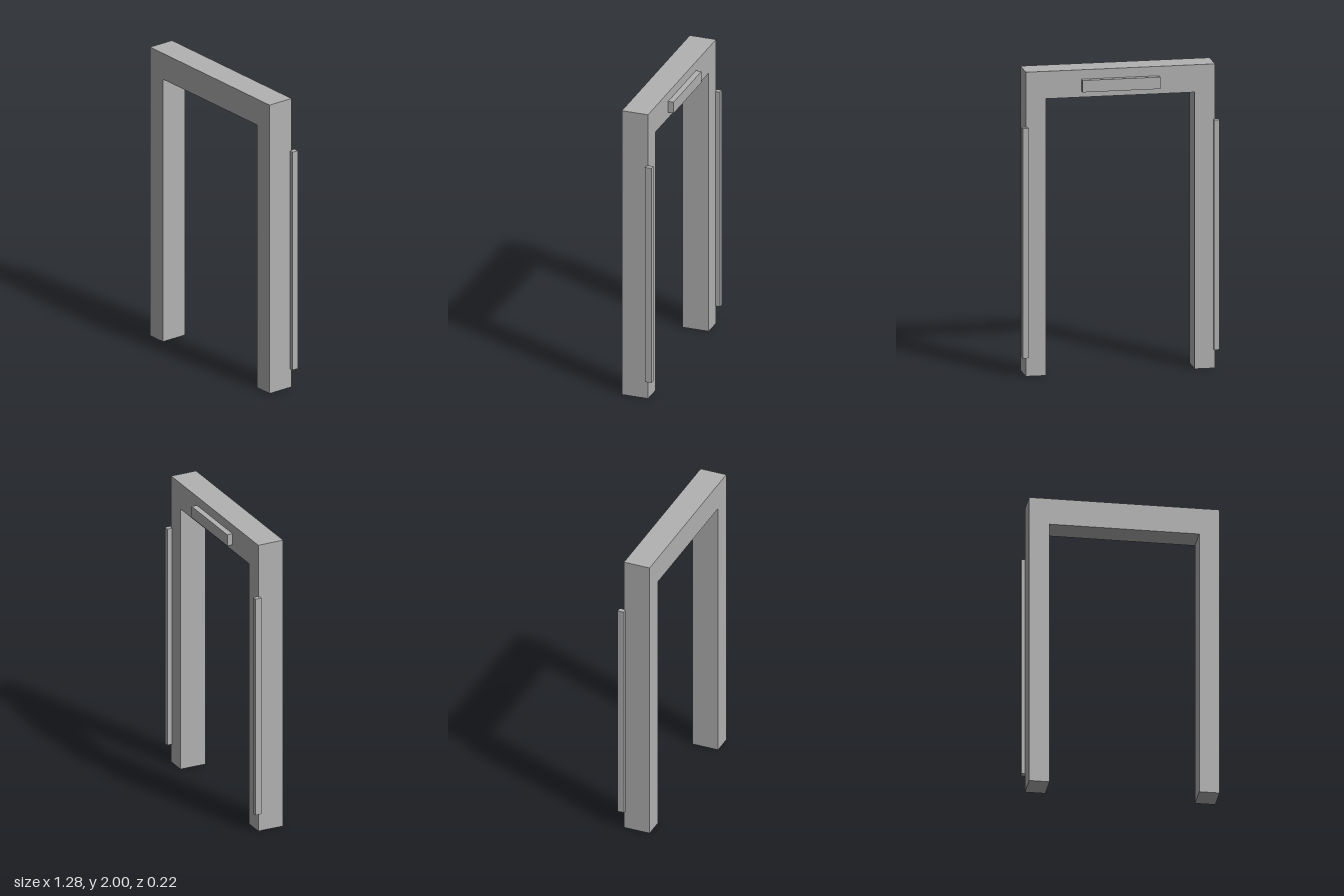
import * as THREE from 'three';

export function createModel() {
  const group = new THREE.Group();
  const grey = new THREE.MeshStandardMaterial({ color: 0xb2b2b2 });
  grey.name = 'grey';

  // Adds a mesh under a plain name
  const add = (name, geometry) => {
    const mesh = new THREE.Mesh(geometry, grey);
    mesh.name = name;
    group.add(mesh);
    return mesh;
  };
  // Box given by its two opposite corners
  const box = (name, [x0, y0, z0], [x1, y1, z1]) =>
    add(name, new THREE.BoxGeometry(x1 - x0, y1 - y0, z1 - z0))
      .position.set((x0 + x1) / 2, (y0 + y1) / 2, (z0 + z1) / 2);

  // Door frame: one upside-down U, extruded through its depth
  const outline = new THREE.Shape([
    [-0.619, 0], [-0.487, 0], [-0.487, 1.82], [0.483, 1.82],
    [0.483, 0], [0.615, 0], [0.615, 2], [-0.619, 2],
  ].map(([x, y]) => new THREE.Vector2(x, y)));
  const frame = new THREE.ExtrudeGeometry(outline, { depth: 0.179, bevelEnabled: false });
  frame.translate(0, 0, -0.071);
  add('doorFrame', frame);

  // Upright strips clipped over the rear outer corners
  box('rightStrip', [-0.643, 0.127, -0.104], [-0.608, 1.638, -0.06]);
  box('leftStrip', [0.604, 0.127, -0.104], [0.64, 1.638, -0.06]);

  // Bar on the back of the lintel
  box('lintelBar', [-0.255, 1.86, -0.109], [0.251, 1.938, -0.071]);

  return group;
}
